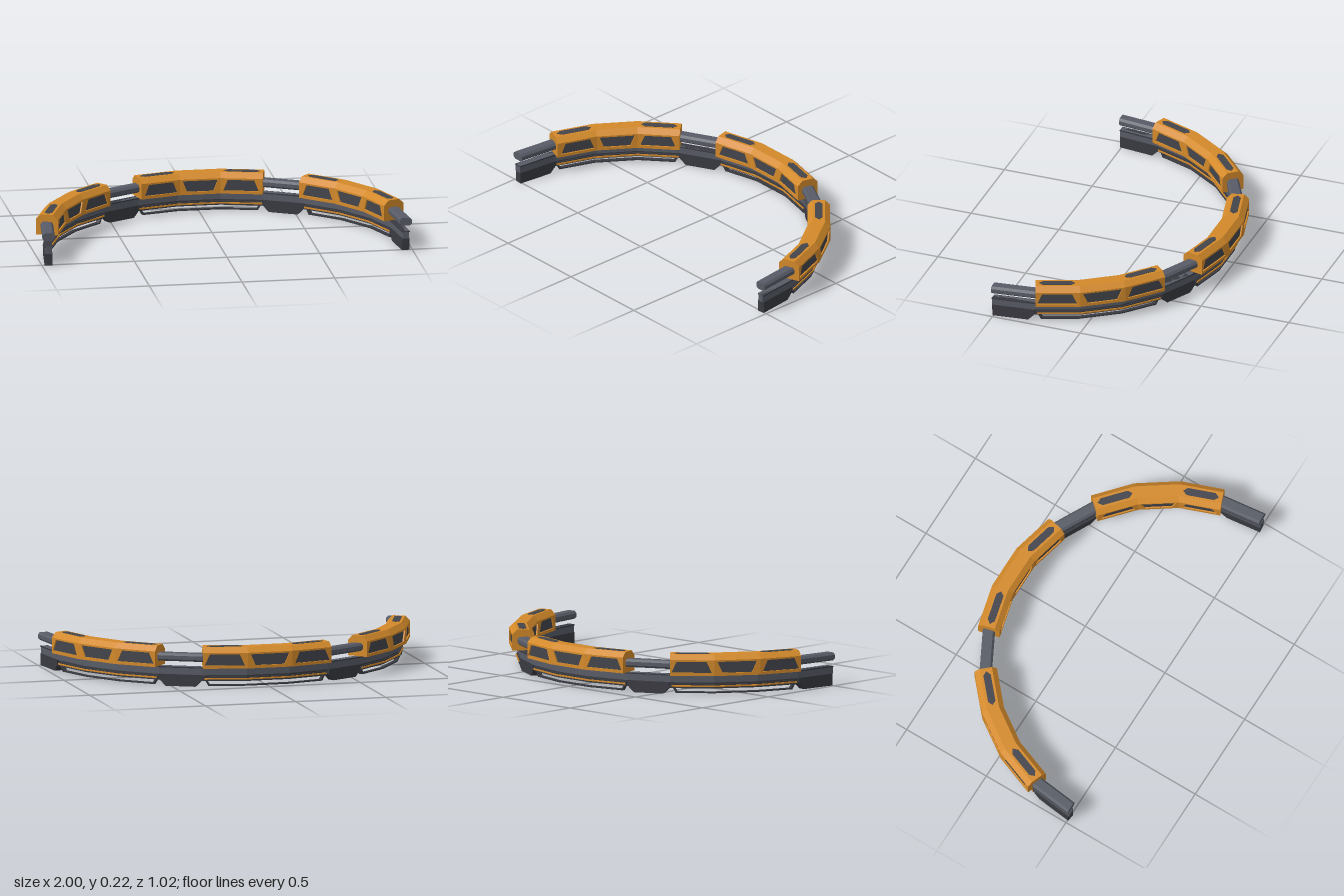
import * as THREE from 'three';

const STEP = Math.PI / 13;          // the half ring has 13 straight segments
const HALF = STEP / 2;
const AP = 0.958;                   // distance from ring centre to a segment's midline
const LEN = AP * Math.tan(HALF);    // half length of a segment on its midline
const CENTRE_Z = 0.51;

const material = (name, color) => {
  const m = new THREE.MeshStandardMaterial({ color });
  m.name = name;
  return m;
};

export function createModel() {
  const orange = material('orange paint', 0xd48a2a);
  const grey = material('steel grey', 0x585c66);
  const dark = material('dark steel', 0x3a3b42);
  const glass = material('dark glass', 0x43454c);

  const model = new THREE.Group();
  model.name = 'segmentedHalfRing';

  function add(parent, name, geometry, mat) {
    const mesh = new THREE.Mesh(geometry, mat);
    mesh.name = name;
    parent.add(mesh);
    return mesh;
  }

  // Convex profile [outward offset, y] swept over segments k0..k1 with mitred joints.
  // With a trim value the two ends are cut square and shortened by it.
  function sweep(profile, k0, k1, trim) {
    const rings = [];
    for (let k = k0; k <= k1 + 1; k++) {
      const phi = (k - 0.5) * STEP;
      const isEnd = k === k0 || k === k1 + 1;
      rings.push(profile.map(([w, y]) => {
        if (!isEnd || trim === undefined) {
          const r = (AP + w) / Math.cos(HALF);
          return [r * Math.sin(phi), y, CENTRE_Z - r * Math.cos(phi)];
        }
        const a = (k === k0 ? k0 : k1) * STEP;
        const s = (LEN - trim) * (k === k0 ? -1 : 1);
        const r = AP + w;
        return [
          r * Math.sin(a) + s * Math.cos(a), y,
          CENTRE_Z - r * Math.cos(a) + s * Math.sin(a),
        ];
      }));
    }
    const pos = [];
    const tri = (a, b, c) => pos.push(...a, ...b, ...c);
    const n = profile.length;
    for (let r = 0; r < rings.length - 1; r++) {
      const A = rings[r], B = rings[r + 1];
      for (let i = 0; i < n; i++) {
        const j = (i + 1) % n;
        tri(A[i], A[j], B[j]);
        tri(A[i], B[j], B[i]);
      }
    }
    const first = rings[0], last = rings[rings.length - 1];
    for (let i = 1; i < n - 1; i++) {
      tri(first[0], first[i + 1], first[i]);
      tri(last[0], last[i], last[i + 1]);
    }
    const g = new THREE.BufferGeometry();
    g.setAttribute('position', new THREE.Float32BufferAttribute(pos, 3));
    g.computeVertexNormals();
    return g;
  }

  const box = (w, y0, y1) => [[-w, y0], [w, y0], [w, y1], [-w, y1]];

  // Group at the ring centre: local x runs along segment k, local -z points outward
  function segment(name, k) {
    const g = new THREE.Group();
    g.name = name;
    g.position.z = CENTRE_Z;
    g.rotation.y = -k * STEP;
    model.add(g);
    return g;
  }

  const outline = pts => pts.map(([x, y]) => new THREE.Vector2(x, y));

  function plate(pts, depth, z, hole) {
    const shape = new THREE.Shape(outline(pts));
    if (hole) shape.holes.push(new THREE.Path(outline(hole)));
    const g = new THREE.ExtrudeGeometry(shape, { depth, bevelEnabled: false });
    return g.translate(0, 0, z);
  }

  // Continuous parts: upper tube, rail and narrow web below it
  const tube = [[-0.02, 0.135], [0.02, 0.135], [0.033, 0.146], [0.033, 0.166],
    [0.022, 0.178], [-0.022, 0.178], [-0.033, 0.166], [-0.033, 0.146]];
  add(model, 'upperTube', sweep(tube, -6, 6), grey);
  add(model, 'rail', sweep(box(0.017, 0.063, 0.105), -6, 6), grey);
  add(model, 'railCap', sweep(box(0.021, 0.099, 0.105), -6, 6), dark);
  add(model, 'railWeb', sweep(box(0.012, 0.03, 0.064), -6, 6), dark);

  // Feet below the open segments
  for (const k of [-6, -2, 2, 6]) {
    const left = k === -6 ? [[-LEN + 0.003, 0.064], [-LEN + 0.003, 0]]
      : [[-LEN, 0.064], [-LEN, 0.036], [-LEN + 0.035, 0]];
    const right = k === 6 ? [[LEN - 0.003, 0], [LEN - 0.003, 0.064]]
      : [[LEN - 0.035, 0], [LEN, 0.036], [LEN, 0.064]];
    add(segment('footSegment', k), 'foot',
      plate([...left, ...right], 0.042, -AP - 0.021), dark);
  }

  // One side wall of a car segment, with a trapezoid window set back in it
  function sideWall(parent, k, mid, side) {
    const face = (AP + side * 0.06) * Math.tan(HALF);
    const x0 = k < mid ? -LEN : -face;
    const x1 = k > mid ? LEN : face;
    const wide = face * 0.87, narrow = face * 0.65;
    const low = k === mid ? narrow : wide, high = k === mid ? wide : narrow;
    const hole = [[-low, 0.121], [low, 0.121], [high, 0.181], [-high, 0.181]];
    const wall = [[x0, 0.105], [x1, 0.105], [x1, 0.19], [x0, 0.19]];
    const zWall = side > 0 ? -AP - 0.06 : -AP + 0.05;
    const zGlass = side > 0 ? -AP - 0.052 : -AP + 0.05;
    add(parent, 'sideWall', plate(wall, 0.01, zWall, hole), orange);
    add(parent, 'window', plate(hole, 0.002, zGlass), glass);
  }

  // Three cars, each three segments long
  const roof = [[-0.06, 0.19], [0.06, 0.19], [0.033, 0.217], [-0.033, 0.217]];
  for (const mid of [-4, 0, 4]) {
    const a = mid - 1, b = mid + 1;
    add(model, 'carCore', sweep(box(0.05, 0.105, 0.19), a, b, 0), orange);
    add(model, 'carRoof', sweep(roof, a, b, 0), orange);

    // Trim and slim lower bar under the car
    add(model, 'lowerHousing', sweep(box(0.02, 0.034, 0.054), a, b, 0.004), dark);
    add(model, 'trimStrip', sweep(box(0.025, 0.04, 0.048), a, b, 0.008), orange);
    add(model, 'lowerBar', sweep(box(0.011, 0.004, 0.011), a, b, 0.03), dark);

    for (let k = a; k <= b; k++) {
      const g = segment('carSegment', k);
      sideWall(g, k, mid, 1);
      sideWall(g, k, mid, -1);
      if (k === mid) continue;

      // Roof panel, flat on the top of the end segments
      const hex = [[-0.097, 0], [-0.075, -0.02], [0.075, -0.02],
        [0.097, 0], [0.075, 0.02], [-0.075, 0.02]];
      const panel = plate(hex, 0.003, 0).rotateX(-Math.PI / 2).translate(0, 0.2155, -AP);
      add(g, 'roofPanel', panel, glass);

      // Slanted brace carrying the end of the lower bar
      const d = k - mid;
      const brace = [[LEN - 0.012, 0.036], [LEN - 0.022, 0.036],
        [LEN - 0.043, 0.004], [LEN - 0.03, 0.004]].map(([x, y]) => [x * d, y]);
      add(g, 'lowerBrace', plate(brace, 0.024, -AP - 0.012), dark);
    }
  }
  return model;
}
